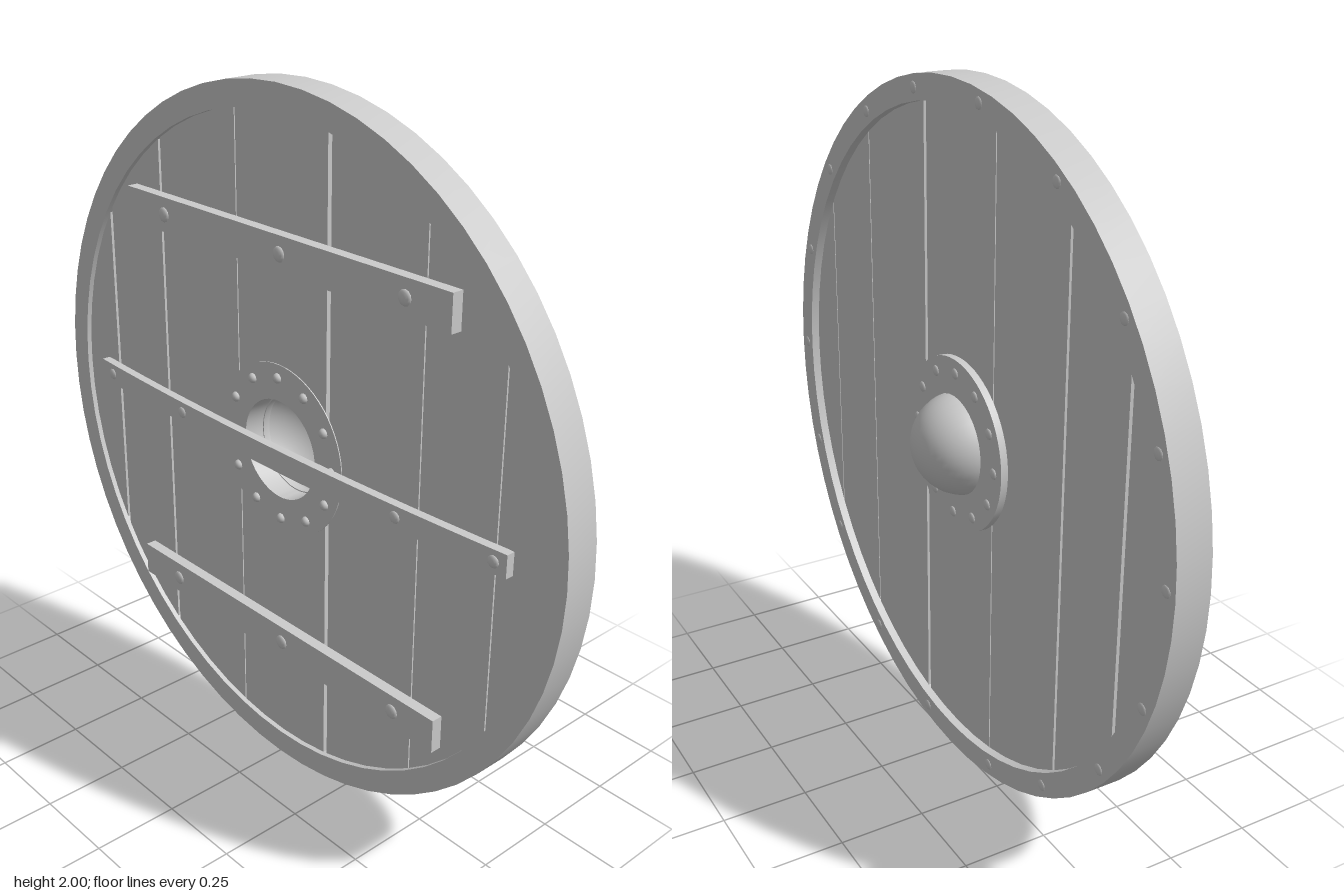
import * as THREE from 'three';
import { toCreasedNormals } from 'three/addons/utils/BufferGeometryUtils.js';

const material = new THREE.MeshStandardMaterial({ color: 0xcccccc, side: THREE.DoubleSide });
const BACK = -0.075, FRONT = -0.015; // plank faces

function add(parent, name, geometry, x = 0, y = 0, z = 0) {
  const mesh = new THREE.Mesh(geometry, material);
  mesh.name = name;
  mesh.position.set(x, y, z);
  parent.add(mesh);
  return mesh;
}

// Flat shape given thickness from z0 to z1
function slab(shape, z0, z1, curveSegments = 32) {
  const g = new THREE.ExtrudeGeometry(shape, { depth: z1 - z0, bevelEnabled: false, curveSegments });
  g.translate(0, 0, z0);
  return toCreasedNormals(g, 0.6);
}

function ringShape(outer, inner) {
  const shape = new THREE.Shape().absarc(0, 0, outer, 0, Math.PI * 2);
  shape.holes.push(new THREE.Path().absarc(0, 0, inner, 0, Math.PI * 2, true));
  return shape;
}

// Vertical strip of the disc between two straight edges
function plankShape(x0, x1, radius) {
  const points = [], n = 10;
  for (let i = 0; i <= n; i++) {
    const x = x0 + (x1 - x0) * i / n;
    points.push(new THREE.Vector2(x, Math.sqrt(Math.max(0, radius * radius - x * x))));
  }
  const lower = points.map(p => new THREE.Vector2(p.x, -p.y)).reverse();
  return new THREE.Shape(points.concat(lower).filter((p, i, a) => !i || p.distanceTo(a[i - 1]) > 1e-5));
}

// Shallow domed rivet head, facing +z or -z
function rivet(parent, name, x, y, z, radius, height, facing = 1) {
  const g = new THREE.SphereGeometry(1, 12, 4, 0, Math.PI * 2, 0, Math.PI / 2);
  g.scale(radius, height, radius);
  g.rotateX(facing * Math.PI / 2);
  add(parent, name, g, x, y, z);
}

export function createModel() {
  const model = new THREE.Group();
  model.name = 'roundShield';
  // Built facing +z around the disc centre, then turned to face +x
  const shield = new THREE.Group();
  shield.name = 'shield';
  shield.position.y = 1;
  shield.rotation.y = Math.PI / 2;
  model.add(shield);

  // Rim with unevenly spaced rivets
  add(shield, 'rim', slab(ringShape(1, 0.93), -0.09, 0.01));
  for (const deg of [12, 30, 50, 70, 90, 110, 128, 150, 171, 193, 211, 231, 250, 271, 290, 308, 330, 352]) {
    const a = deg * Math.PI / 180;
    rivet(shield, 'rimRivet', -0.965 * Math.sin(a), 0.965 * Math.cos(a), 0.009, 0.017, 0.006);
  }

  // Planks, separated by gaps of [position, width]
  const gaps = [[-0.95, 0], [-0.777, 0.004], [-0.52, 0.004], [-0.184, 0.014],
    [0.18, 0.004], [0.515, 0.01], [0.771, 0.012], [0.95, 0]];
  for (let i = 0; i < gaps.length - 1; i++) {
    const [a, wa] = gaps[i], [b, wb] = gaps[i + 1];
    const shape = plankShape(a + wa / 2, b - wb / 2, 0.95);
    if (i === 3) shape.holes.push(new THREE.Path().absarc(0.008, 0.003, 0.145, 0, Math.PI * 2, true));
    add(shield, 'plank', slab(shape, BACK, FRONT));
  }

  // Boss: hollow dome, riveted flange and backing ring
  const boss = new THREE.Group();
  boss.name = 'boss';
  boss.position.set(0.008, 0.003, 0);
  shield.add(boss);
  const dome = new THREE.SphereGeometry(0.147, 32, 12, 0, Math.PI * 2, 0, Math.PI / 2);
  dome.rotateX(Math.PI / 2);
  add(boss, 'bossDome', dome, 0, 0, -0.022);
  add(boss, 'bossFlange', slab(ringShape(0.25, 0.142), FRONT, 0.006));
  add(boss, 'bossBackRing', slab(ringShape(0.25, 0.145), BACK, BACK - 0.003));
  for (let i = 0; i < 12; i++) {
    const a = (i + 0.05) * Math.PI / 6;
    const x = 0.21 * Math.sin(a), y = 0.21 * Math.cos(a);
    rivet(boss, 'bossRivet', x, y, 0.005, 0.016, 0.008);
    rivet(boss, 'bossRivetEnd', x, y, BACK - 0.002, 0.015, 0.014, -1);
  }

  // Two straight battens on the back
  for (const y of [0.575, -0.59]) {
    add(shield, 'batten', new THREE.BoxGeometry(1.26, 0.1, 0.033), 0, y, BACK - 0.0165);
    for (const x of [-0.48, -0.03, 0.46]) rivet(shield, 'battenRivet', x, y, -0.107, 0.022, 0.01, -1);
  }

  // Bowed grip across the middle of the back
  const half = 0.83;
  const bow = x => -0.13 + 0.03 * (x / half) ** 2;
  const outer = [], inner = [];
  for (let i = 0; i <= 16; i++) {
    const x = -half + half * i / 8;
    outer.push(new THREE.Vector2(x, bow(x)));
    inner.unshift(new THREE.Vector2(x, bow(x) + 0.026));
  }
  const grip = slab(new THREE.Shape(outer.concat(inner)), -0.0325, 0.0325);
  grip.rotateX(Math.PI / 2);
  add(shield, 'grip', grip, 0, 0.002, 0);
  for (const x of [-0.79, -0.48, 0.39, 0.77]) rivet(shield, 'gripRivet', x, 0.002, bow(x) + 0.002, 0.018, 0.009, -1);

  return model;
}
